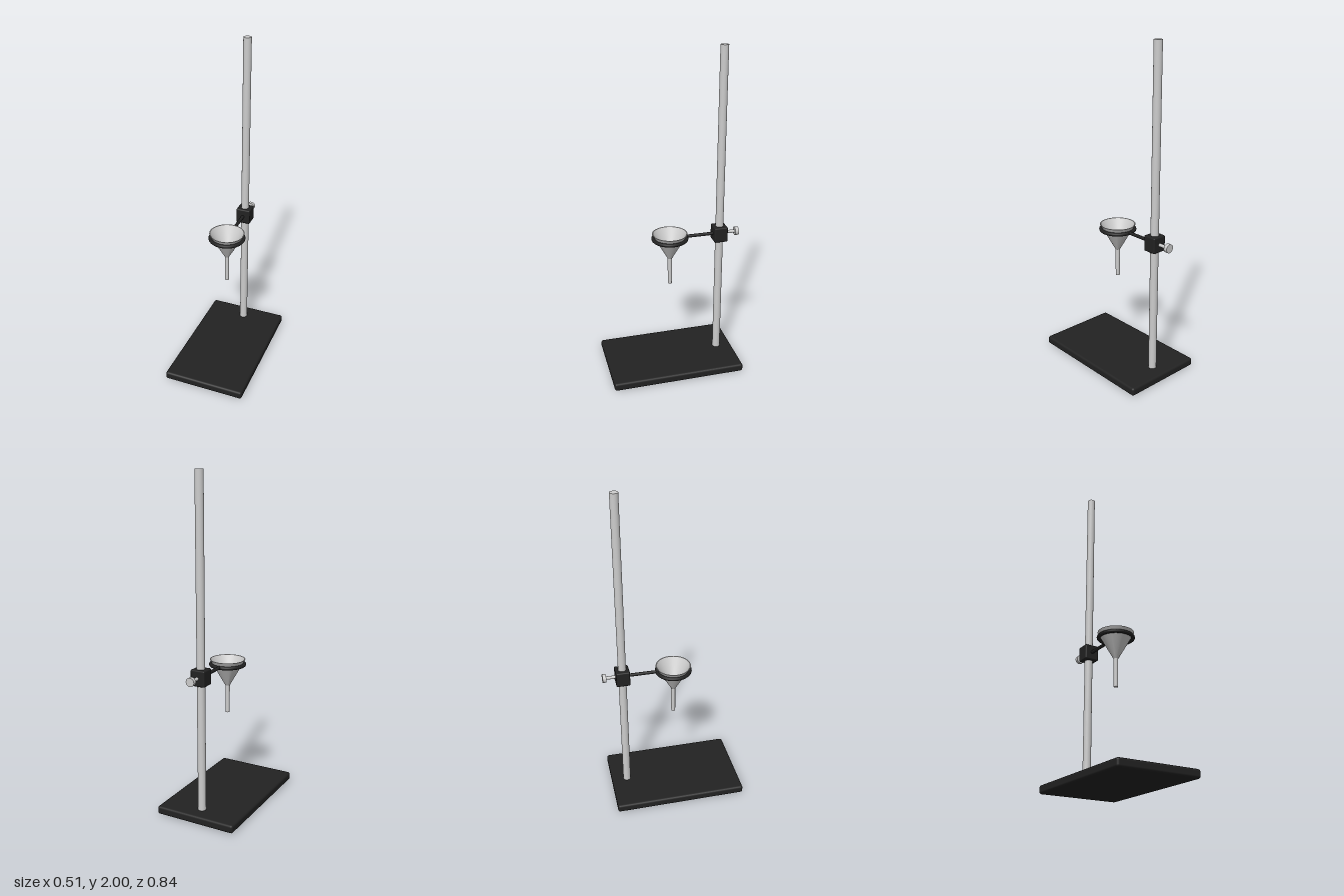
import * as THREE from 'three';
import { toCreasedNormals } from 'three/addons/utils/BufferGeometryUtils.js';
import { RoundedBoxGeometry } from 'three/addons/geometries/RoundedBoxGeometry.js';

const ROD_Z = -0.302, ARM_Y = 0.865, RING_Z = 0.011;

export function createModel() {
  const model = new THREE.Group();
  const black = new THREE.MeshStandardMaterial({ name: 'black iron', color: 0x222222 });
  const metal = new THREE.MeshStandardMaterial({ name: 'pale metal', color: 0xcccccc });

  const add = (name, geometry, material, x, y, z) => {
    const mesh = new THREE.Mesh(geometry, material);
    mesh.name = name;
    mesh.position.set(x, y, z);
    model.add(mesh);
    return mesh;
  };
  // Cylinder lying along z between two depths
  const barZ = (name, radius, z0, z1, material) =>
    add(name, new THREE.CylinderGeometry(radius, radius, z1 - z0, 24).rotateX(Math.PI / 2),
      material, 0, ARM_Y, (z0 + z1) / 2);

  // Heavy base and upright
  add('base', new RoundedBoxGeometry(0.506, 0.05, 0.82, 3, 0.014), black, 0, 0.025, 0.01);
  add('uprightRod', new THREE.CylinderGeometry(0.024, 0.024, 1.96, 24), metal, 0, 1.02, ROD_Z);

  // Clamp block with its thumbscrew
  add('clampBlock', new RoundedBoxGeometry(0.09, 0.095, 0.084, 3, 0.008), black, 0, ARM_Y, ROD_Z);
  barZ('screwShaft', 0.01, -0.402, -0.33, metal);
  barZ('screwKnob', 0.026, -0.422, -0.4, metal);

  // Support arm and ring
  barZ('supportArm', 0.01, -0.27, RING_Z - 0.1, black);
  add('supportRing', new THREE.TorusGeometry(0.101, 0.011, 12, 48).rotateX(Math.PI / 2),
    black, 0, ARM_Y - 0.002, RING_Z);

  // Hollow funnel: up the outside, over the rim, down the inside
  const profile = [
    [0.009, 0.56], [0.0125, 0.56], [0.0135, 0.73], [0.107, 0.895],
    [0.102, 0.895], [0.01, 0.734], [0.009, 0.56],
  ].map(([r, y]) => new THREE.Vector2(r, y));
  add('funnel', toCreasedNormals(new THREE.LatheGeometry(profile, 48), 0.5), metal, 0, 0, RING_Z);

  return model;
}
